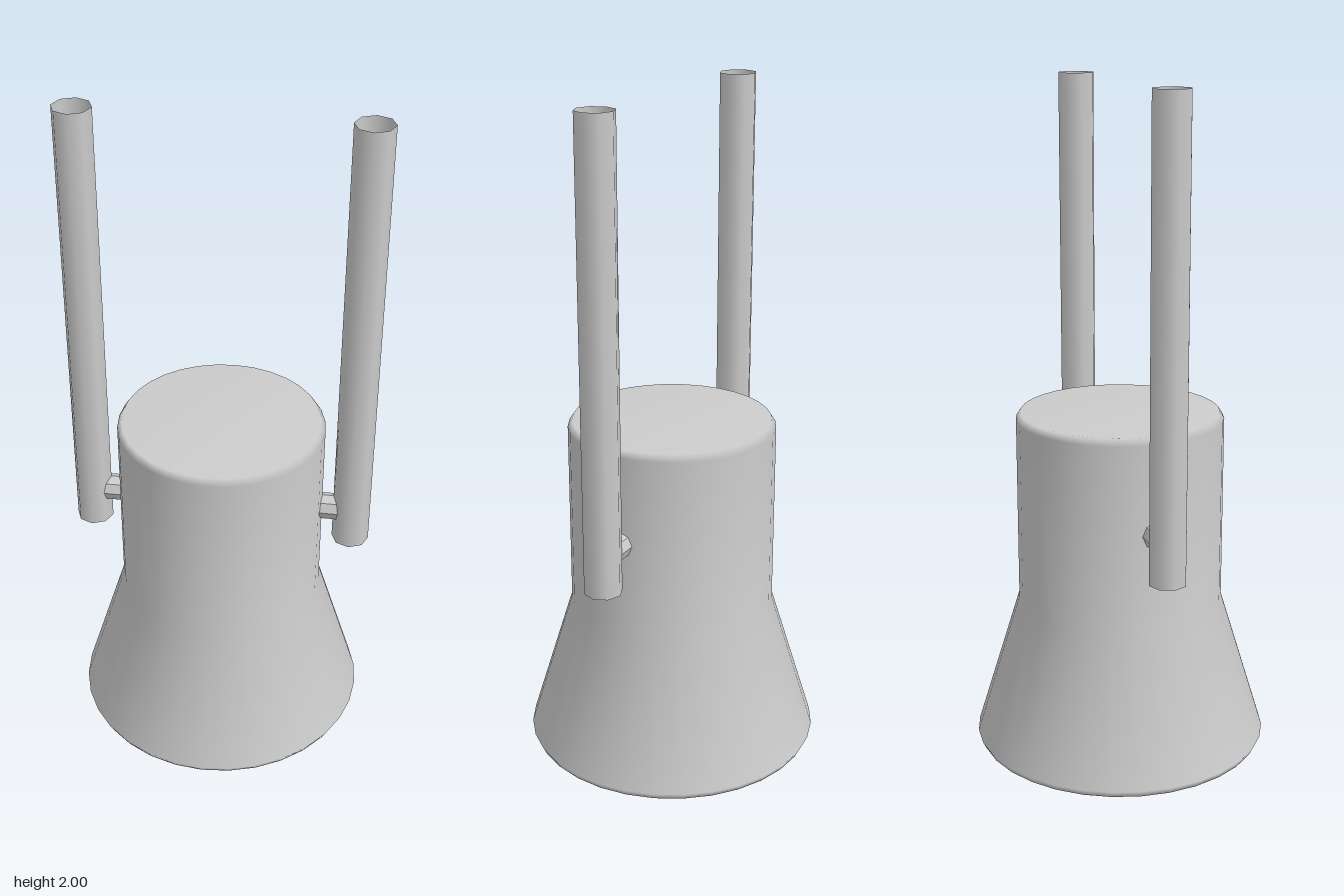
import * as THREE from 'three';

export function createModel() {
  const model = new THREE.Group();
  const smooth = new THREE.MeshStandardMaterial({ color: 0xcccccc });
  const faceted = new THREE.MeshStandardMaterial({ color: 0xcccccc, flatShading: true });
  const thin = new THREE.MeshStandardMaterial({ color: 0xcccccc, side: THREE.DoubleSide });

  const add = (name, geometry, material, parent = model) => {
    const mesh = new THREE.Mesh(geometry, material);
    mesh.name = name;
    parent.add(mesh);
    return mesh;
  };

  // Body: flared skirt, straight drum and bevelled top
  const profile = [
    [0.39, 0], [0.435, 0], [0.445, 0.02], [0.31, 0.46],
    [0.31, 1.02], [0.297, 1.04], [0, 1.04],
  ].map(([r, y]) => new THREE.Vector2(r, y));
  add('body', new THREE.LatheGeometry(profile, 32), smooth);

  // Shallow recess in the underside
  const depth = 0.045;
  add('recessWall', new THREE.CylinderGeometry(0.39, 0.39, depth, 32, 1, true), thin).position.y = depth / 2;
  const floor = add('recessFloor', new THREE.CircleGeometry(0.39, 32), smooth);
  floor.rotation.x = Math.PI / 2;
  floor.position.y = depth;

  // Upright arms, each a tube open at the top, held by a pivot pin
  const bottom = 0.64, top = 2, armRadius = 0.056;
  for (const [side, s] of [['left', 1], ['right', -1]]) {
    const arm = new THREE.Group();
    arm.name = side + 'Arm';
    model.add(arm);

    const tube = add(side + 'Tube',
      new THREE.CylinderGeometry(armRadius, armRadius, top - bottom, 8, 1, true), thin, arm);
    tube.position.set(s * 0.4, (top + bottom) / 2, 0);

    const cap = add(side + 'TubeEnd', new THREE.CircleGeometry(armRadius, 8), thin, arm);
    cap.rotation.x = Math.PI / 2;
    cap.position.set(s * 0.4, bottom, 0);

    const pin = add(side + 'Pin', new THREE.CylinderGeometry(0.04, 0.04, 0.12, 8), faceted, arm);
    pin.rotation.z = Math.PI / 2;
    pin.position.set(s * 0.34, 0.75, 0);
  }

  return model;
}
